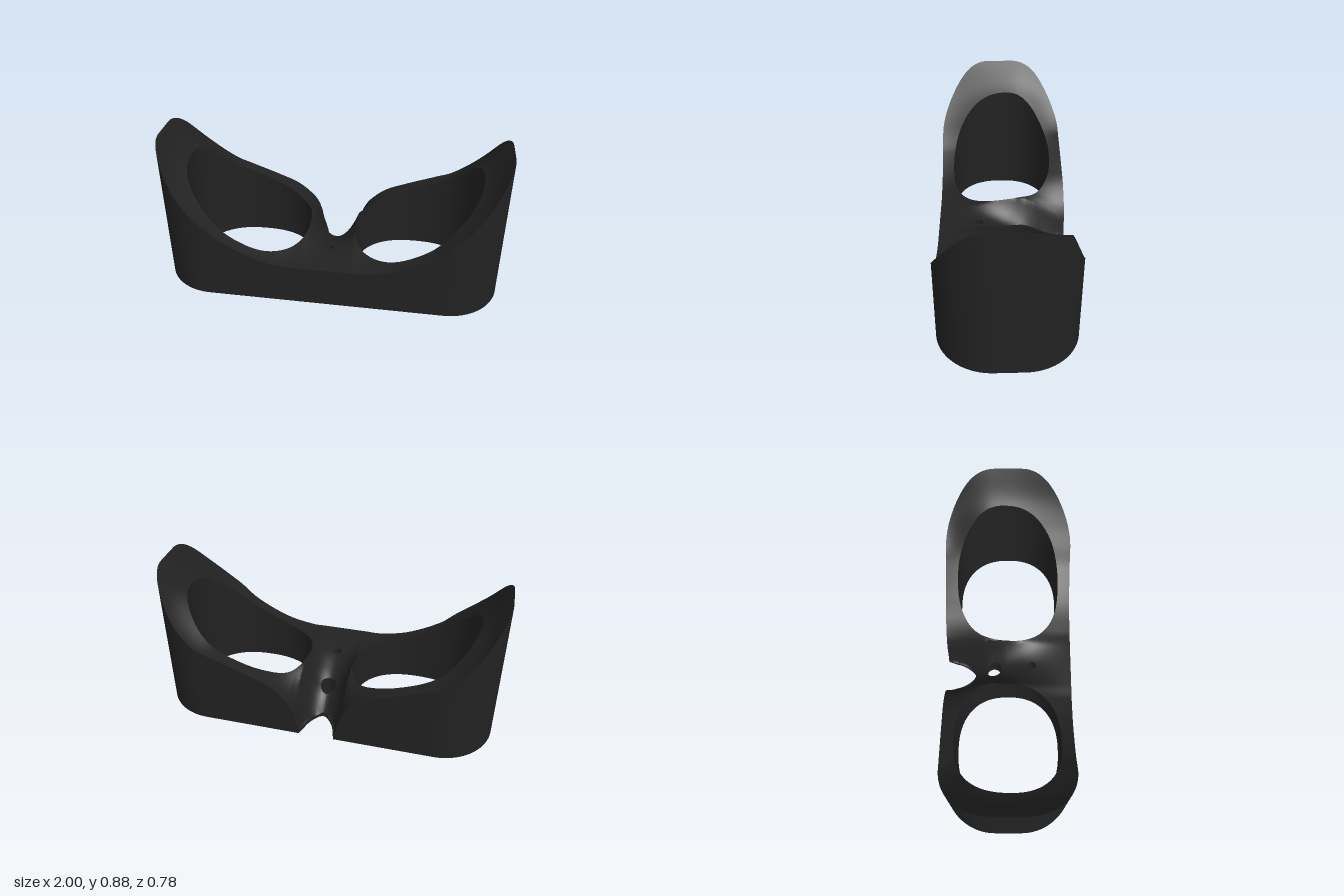
import * as THREE from 'three';
import { toCreasedNormals } from 'three/addons/utils/BufferGeometryUtils.js';

const { lerp, smoothstep } = THREE.MathUtils;
const material = new THREE.MeshStandardMaterial({ color: 0x222222 });

// Smooth curve through [position, value] keys
function profile(keys) {
  const slope = (a, b) => (b[1] - a[1]) / (b[0] - a[0]);
  const m = keys.map((k, i) => slope(keys[Math.max(i - 1, 0)], keys[Math.min(i + 1, keys.length - 1)]));
  return (x) => {
    let i = 0;
    while (i < keys.length - 2 && x > keys[i + 1][0]) i++;
    const [x0, y0] = keys[i], [x1, y1] = keys[i + 1];
    const d = x1 - x0, t = Math.min(Math.max((x - x0) / d, 0), 1), u = 1 - t;
    return y0 * (1 + 2 * t) * u * u + m[i] * d * t * u * u + y1 * t * t * (3 - 2 * t) - m[i + 1] * d * t * t * u;
  };
}

// Heights of the upper surface along the front rim, the middle and the back rim
const front = profile([[0.14, 0.245], [0.22, 0.245], [0.4, 0.285], [0.6, 0.39], [0.7, 0.48], [0.8, 0.575], [0.9, 0.7], [1, 0.88]]);
const middle = profile([[0.14, 0.31], [0.3, 0.345], [0.45, 0.39], [0.6, 0.47], [0.7, 0.57], [0.8, 0.66], [0.9, 0.75], [1, 0.88]]);
const back = profile([[0.14, 0.17], [0.18, 0.24], [0.28, 0.33], [0.4, 0.385], [0.6, 0.46], [0.7, 0.5], [0.8, 0.58], [0.9, 0.7], [1, 0.88]]);
// Floor of the groove between the two openings, along z
const groove = profile([[-0.39, -0.22], [-0.31, -0.1], [-0.24, -0.02], [-0.21, 0.03], [-0.15, 0.1], [-0.09, 0.14], [0, 0.19], [0.15, 0.235], [0.39, 0.245]]);

const BRIDGE = 0.14;

function upper(x, z) {
  const px = Math.max(x, BRIDGE);
  const rim = z > -0.1 ? front(px) : back(px);
  let y = lerp(middle(px), rim, z > -0.1 ? smoothstep(z, -0.1, 0.39) : smoothstep(-z, 0.1, 0.39));
  if (x < BRIDGE) y = lerp(groove(z), y, (x / BRIDGE) ** 2);
  return Math.max(y, 0.02);
}

// Flat underside with a shallow recess around the two small holes
function lower(x, z) {
  const cz = Math.min(Math.max(z, -0.08), 0.15);
  const d = Math.hypot(x, z - cz);
  return 0.02 * (1 - smoothstep(d, 0.065, 0.08));
}

// Outline of one half in (x, z), with half of each small hole on the centre line
function halfOutline() {
  const p = new THREE.Path();
  p.moveTo(0, -0.21);
  p.bezierCurveTo(0.03, -0.21, 0.08, -0.29, 0.085, -0.33);
  p.lineTo(0.105, -0.39);
  p.lineTo(0.69, -0.39);
  p.absarc(0.69, -0.08, 0.31, -Math.PI / 2, 0, false);
  p.lineTo(1, 0.08);
  p.absarc(0.69, 0.08, 0.31, 0, Math.PI / 2, false);
  p.lineTo(0, 0.39);
  p.lineTo(0, 0.175);
  p.absarc(0, 0.15, 0.025, Math.PI / 2, -Math.PI / 2, true);
  p.lineTo(0, -0.045);
  p.absarc(0, -0.09, 0.045, Math.PI / 2, -Math.PI / 2, true);
  p.lineTo(0, -0.21);

  const points = [];
  for (const curve of p.curves) {
    if (curve.getLength() < 1e-6) continue;
    const n = Math.max(6, Math.ceil(curve.getLength() / 0.015));
    const pts = curve.getPoints(n);
    points.push(...(points.length ? pts.slice(1) : pts));
  }
  return points;
}

// Point on the rounded opening in a given direction from its centre
function openingPoint(angle) {
  const n = 2.35, c = Math.cos(angle), s = Math.sin(angle);
  const r = (Math.abs(c / 0.36) ** n + Math.abs(s / 0.315) ** n) ** (-1 / n);
  return new THREE.Vector2(0.5 + r * c, r * s);
}

// Mesh from rows of points; side = -1 mirrors it in x
function sheet(name, rows, side, flip, keep = () => true) {
  const cols = rows[0].length, index = [];
  const position = rows.flat().flatMap(([x, y, z]) => [x * side, y, z]);
  for (let i = 0; i < rows.length - 1; i++) {
    if (!keep(rows[i][0], rows[i + 1][0])) continue;
    for (let j = 0; j < cols - 1; j++) {
      const a = i * cols + j, b = a + cols, c = a + 1, d = b + 1;
      index.push(...(flip !== side < 0 ? [a, c, b, b, c, d] : [a, b, c, b, d, c]));
    }
  }
  const geometry = new THREE.BufferGeometry();
  geometry.setAttribute('position', new THREE.Float32BufferAttribute(position, 3));
  geometry.setIndex(index);
  const mesh = new THREE.Mesh(toCreasedNormals(geometry, 0.6), material);
  mesh.name = name;
  return mesh;
}

export function createModel() {
  const model = new THREE.Group();
  model.name = 'eyepieceHousing';

  // Pair every outline point with a point on the opening
  const outer = halfOutline();
  let last = -Math.PI;
  const inner = outer.map((p) => {
    let a = Math.atan2(p.y, p.x - 0.5);
    if (a < last - Math.PI) a += Math.PI * 2;
    last = Math.max(last, a);
    return openingPoint(last);
  });

  const STEPS = 14;
  const spread = (height) => outer.map((p, i) => Array.from({ length: STEPS + 1 }, (_, j) => {
    const q = p.clone().lerp(inner[i], j / STEPS);
    return [q.x, height(q.x, q.y), q.y];
  }));
  const wall = (loop, first, second) => loop.map((p) => [first, second].map((h) => [p.x, h(p.x, p.y), p.y]));
  const offCentre = (a, b) => a[0] > 1e-6 || b[0] > 1e-6;

  for (const side of [1, -1]) {
    const half = new THREE.Group();
    half.name = side > 0 ? 'leftHalf' : 'rightHalf';
    half.add(
      sheet('facePad', spread(upper), side, true),
      sheet('underside', spread(lower), side, false),
      // Outer wall, notch and small holes; the centre seam stays open
      sheet('outerWall', wall(outer, upper, lower), side, false, offCentre),
      sheet('openingWall', wall(inner, lower, upper), side, false),
    );
    model.add(half);
  }
  return model;
}
